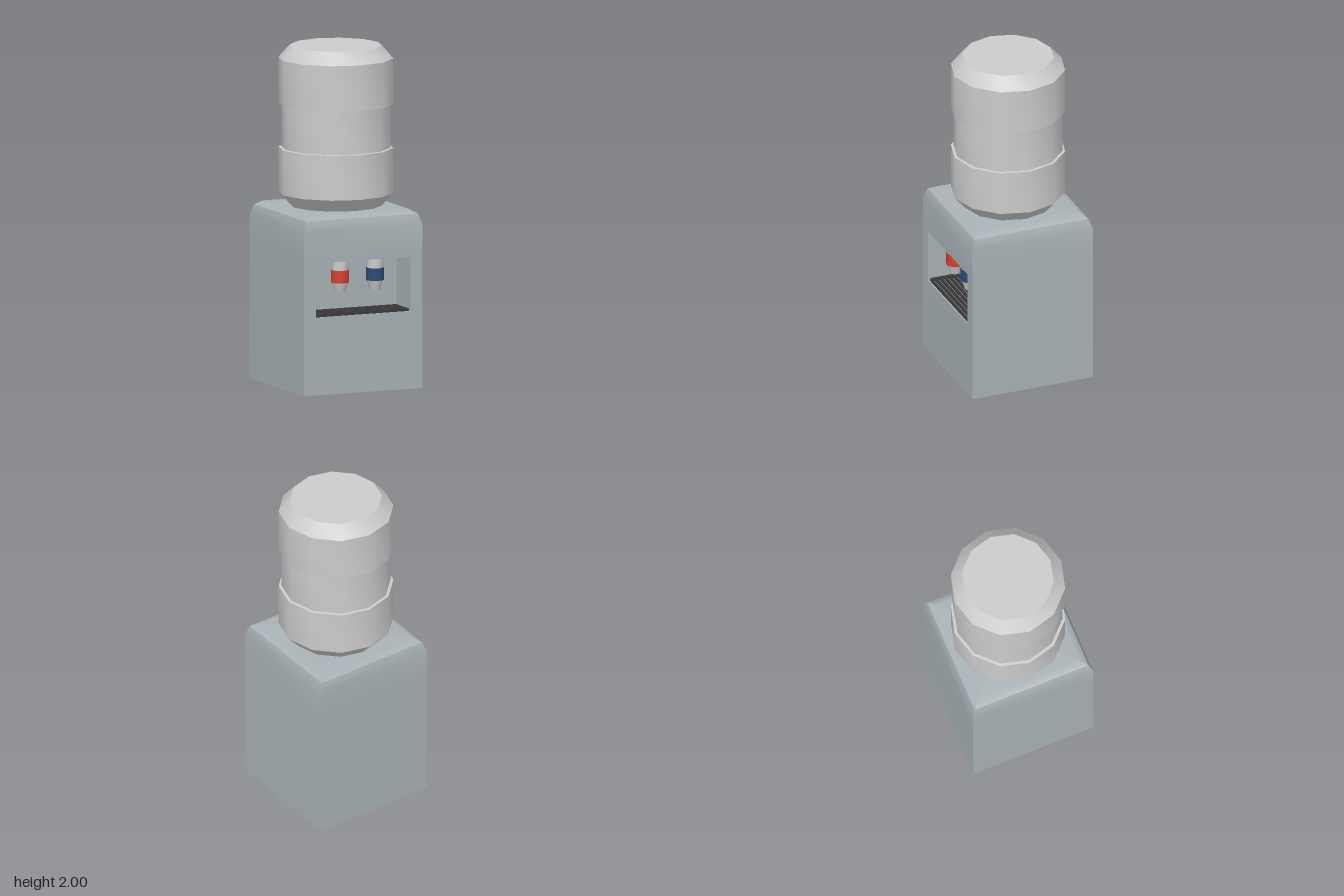
import * as THREE from 'three';
import { mergeGeometries, toCreasedNormals } from 'three/addons/utils/BufferGeometryUtils.js';

const HALF = 0.38;
const NICHE = { x: 0.305, y0: 0.46, y1: 0.78, depth: 0.2 };
const mat = (color, side = THREE.FrontSide) => new THREE.MeshStandardMaterial({ color, side });

function add(parent, name, geometry, material, x = 0, y = 0, z = 0) {
  const mesh = new THREE.Mesh(geometry, material);
  mesh.name = name;
  mesh.position.set(x, y, z);
  parent.add(mesh);
  return mesh;
}

// One side of the cabinet: a strip rising through [half width, height] points,
// smooth along the profile and sharp at the corners.
function sideStrip(profile, turn) {
  const positions = [], index = [];
  profile.forEach(([h, y], i) => {
    positions.push(-h, y, h, h, y, h);
    if (i) {
      const a = 2 * i - 2;
      index.push(a, a + 1, a + 2, a + 1, a + 3, a + 2);
    }
  });
  const g = new THREE.BufferGeometry();
  g.setAttribute('position', new THREE.Float32BufferAttribute(positions, 3));
  g.setIndex(index);
  g.computeVertexNormals();
  return g.rotateY(turn * Math.PI / 2);
}

function createCabinet() {
  const group = new THREE.Group();
  group.name = 'cabinet';
  const shell = mat(0xa9b2b6);

  // Four walls with softened shoulders, and a low bevelled top
  const wall = [[HALF, 0], [HALF, 0.8], [HALF, 0.97], [0.36, 1.03]];
  const top = [[0.36, 1.03], [0.32, 1.055], [0, 1.055]];
  const parts = [];
  for (let i = 0; i < 4; i++) {
    parts.push(sideStrip(i === 0 ? wall.slice(1) : wall, i), sideStrip(top, i));
  }
  add(group, 'cabinetShell', mergeGeometries(parts), shell);

  // Front panel with the niche opening
  const panel = new THREE.Shape([[-HALF, 0], [HALF, 0], [HALF, 0.8], [-HALF, 0.8]]
    .map(([x, y]) => new THREE.Vector2(x, y)));
  const { x, y0, y1, depth } = NICHE;
  panel.holes.push(new THREE.Path([[-x, y0], [-x, y1], [x, y1], [x, y0]]
    .map(([px, py]) => new THREE.Vector2(px, py))));
  add(group, 'frontPanel', new THREE.ShapeGeometry(panel), shell, 0, 0, HALF);

  // Niche: a box turned inside out with its front face left off
  const box = new THREE.BoxGeometry(2 * x, y1 - y0, depth);
  box.setIndex(Array.from(box.index.array).filter((_, i) => i < 24 || i >= 30).reverse());
  const lining = box.toNonIndexed();
  lining.computeVertexNormals();
  add(group, 'niche', lining, shell, 0, (y0 + y1) / 2, HALF - depth / 2);

  add(group, 'base', new THREE.PlaneGeometry(2 * HALF, 2 * HALF).rotateX(Math.PI / 2), shell);
  return group;
}

// Faceted bottle with a recessed waist
function createBottle() {
  const profile = [[0, 1.055], [0.27, 1.055], [0.337, 1.13], [0.337, 1.395], [0.32, 1.397],
    [0.32, 1.653], [0.337, 1.655], [0.337, 1.925], [0.27, 2], [0, 2]]
    .map(([r, y]) => new THREE.Vector2(r, y));
  return toCreasedNormals(new THREE.LatheGeometry(profile, 12), 0.6);
}

function createTap(name, color, x) {
  const tap = new THREE.Group();
  tap.name = name;
  const grey = mat(0xcccccc);
  const cyl = (r1, r2, y0, y1) =>
    toCreasedNormals(new THREE.CylinderGeometry(r1, r2, y1 - y0, 12).translate(0, (y0 + y1) / 2, 0), 0.6);
  add(tap, 'tapStem', cyl(0.047, 0.047, 0.718, NICHE.y1), grey);
  add(tap, 'tapBand', cyl(0.053, 0.053, 0.645, 0.718), mat(color));
  add(tap, 'tapNozzle', cyl(0.048, 0.031, 0.588, 0.645), grey);
  tap.position.set(x, 0, 0.29);
  return tap;
}

// Drip grille: rim around a row of slats
function createGrille() {
  const grille = new THREE.Group();
  grille.name = 'dripGrille';
  const dark = mat(0x3a3a3a);
  const h = 0.014, y = NICHE.y0 + h / 2, z0 = 0.195, z1 = 0.365, count = 7;
  for (let i = 0; i < count; i++) {
    add(grille, 'slat', new THREE.BoxGeometry(0.59, h, 0.015), dark, 0, y, z0 + (z1 - z0) * i / (count - 1));
  }
  for (const s of [-1, 1]) {
    add(grille, 'grilleEnd', new THREE.BoxGeometry(0.02, h, z1 - z0), dark, s * 0.29, y, (z0 + z1) / 2);
  }
  return grille;
}

export function createModel() {
  const model = new THREE.Group();
  model.name = 'waterDispenser';
  model.add(createCabinet(), createGrille());
  add(model, 'bottle', createBottle(), mat(0xcccccc));
  model.add(createTap('hotTap', 0xd0402f, -0.108), createTap('coldTap', 0x2b4a76, 0.116));
  return model;
}
